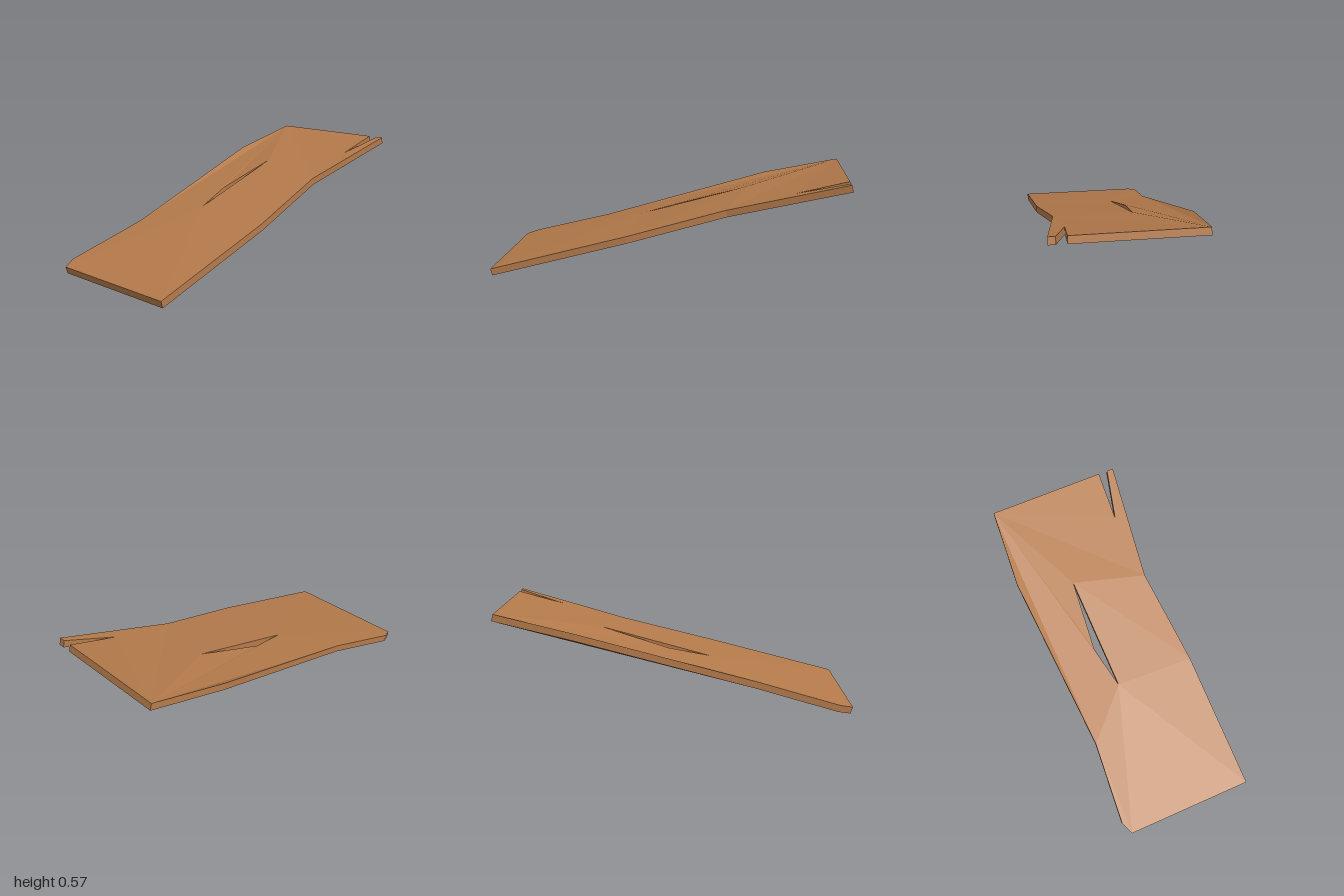
import * as THREE from 'three';

const TILT = THREE.MathUtils.degToRad(15);
const THICKNESS = 0.0395;

// Plank outline: [x, z, lift], where lift is the slight warp of the board
const OUTLINE = [
  [-1, 0.405, 0], [-0.22, 0.385, 0], [0.33, 0.328, 0.004], [0.99, 0.405, 0],
  [0.99, 0.367, 0], [0.71, 0.299, 0], [0.99, 0.313, 0], // split in the end
  [0.99, -0.371, 0], [0.55, -0.405, 0.019], [-0.46, -0.335, 0],
  [-0.925, -0.371, 0], [-1, -0.339, 0],
];
// Long crack through the middle
const CRACK = [[-0.2, -0.077, 0.01], [0.04, -0.129, 0.006], [0.44, -0.093, 0.018]];

export function createModel() {
  const group = new THREE.Group();
  group.name = 'brokenPlank';
  const wood = new THREE.MeshStandardMaterial({ color: 0xb47a4b, flatShading: true });
  wood.name = 'wood';

  // Lay the outline flat, measured along the board from its low end
  const flat = ([x, z]) => new THREE.Vector2((x + 1) / Math.cos(TILT), -z);
  const shape = new THREE.Shape(OUTLINE.map(flat));
  shape.holes.push(new THREE.Path(CRACK.map(flat)));
  const geometry = new THREE.ExtrudeGeometry(shape, { depth: THICKNESS, bevelEnabled: false });

  // Warp the board at its marked points
  const marks = [...OUTLINE, ...CRACK].map((p) => ({ at: flat(p), lift: p[2] }));
  const pos = geometry.attributes.position;
  for (let i = 0; i < pos.count; i++) {
    const v = new THREE.Vector2(pos.getX(i), pos.getY(i));
    const mark = marks.find((m) => m.at.distanceTo(v) < 1e-4);
    if (mark) pos.setZ(i, pos.getZ(i) + mark.lift);
  }

  // Tip the board up towards +x, resting on its low edge
  geometry.rotateX(-Math.PI / 2);
  geometry.rotateZ(TILT);
  geometry.translate(-1 + THICKNESS * Math.sin(TILT), 0, 0);
  geometry.computeVertexNormals();

  const plank = new THREE.Mesh(geometry, wood);
  plank.name = 'plank';
  group.add(plank);
  return group;
}
